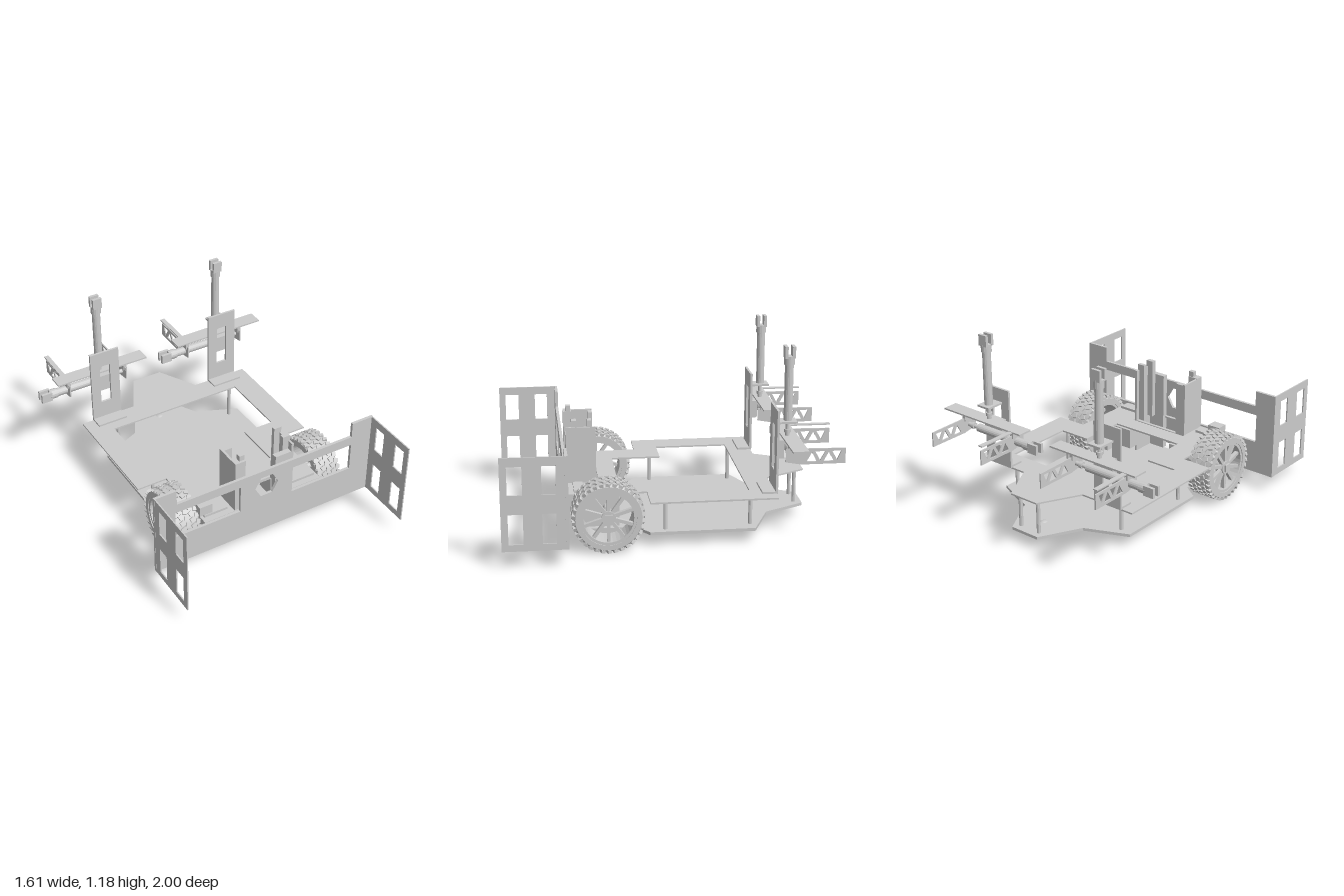
import * as THREE from 'three';
import { mergeGeometries } from 'three/addons/utils/BufferGeometryUtils.js';

const CX = 0.037; // centre line of the chassis
const mat = new THREE.MeshStandardMaterial({ color: 0xcccccc, flatShading: true, side: THREE.DoubleSide });
const smooth = new THREE.MeshStandardMaterial({ color: 0xcccccc });

function add(parent, name, geometry, x = 0, y = 0, z = 0, material = mat) {
  const mesh = new THREE.Mesh(geometry, material);
  mesh.name = name;
  mesh.position.set(x, y, z);
  parent.add(mesh);
  return mesh;
}

// box given by its two extreme corners
function box(parent, name, x0, x1, y0, y1, z0, z1) {
  return add(parent, name, new THREE.BoxGeometry(x1 - x0, y1 - y0, z1 - z0),
    (x0 + x1) / 2, (y0 + y1) / 2, (z0 + z1) / 2);
}

const path = (pts) => pts.map(([a, b]) => new THREE.Vector2(a, b));
const rect = (a0, a1, b0, b1) => [[a0, b0], [a1, b0], [a1, b1], [a0, b1]];
// flat sheet with holes, extruded along +z
function sheet(outline, holes, depth) {
  const shape = new THREE.Shape(path(outline));
  for (const h of holes) shape.holes.push(new THREE.Path(path(h)));
  return new THREE.ExtrudeGeometry(shape, { depth, bevelEnabled: false });
}
const flatSheet = (o, h, d) => sheet(o, h, d).rotateX(Math.PI / 2); // points are (x, z), hangs down
const sideSheet = (o, h, d) => sheet(o, h, d).rotateY(-Math.PI / 2).translate(d / 2, 0, 0); // (z, y)
// mirror a half outline (offsets from the centre line) into a closed one
const mirrored = (half) => [
  ...half.map(([x, z]) => [CX + x, z]),
  ...half.slice().reverse().map(([x, z]) => [CX - x, z]),
];

function buildChassis(g) {
  add(g, 'upperDeck', flatSheet(
    mirrored([[0.1, -0.868], [0.235, -0.614], [0.607, -0.614], [0.607, 0.14], [0.41, 0.14], [0.41, 0.61]]),
    [mirrored([[0.455, -0.465], [0.455, -0.01], [0.25, -0.01], [0.25, 0.296]]),
      rect(-0.167, 0.24, 0.41, 0.59)], 0.01), 0, 0.314, 0);
  add(g, 'lowerDeck', flatSheet(
    mirrored([[0.1, -0.868], [0.235, -0.614], [0.5, -0.5], [0.5, 0.13], [0.4, 0.2], [0.4, 0.58]]), [], 0.018), 0, 0.09, 0);
  const post = new THREE.CylinderGeometry(0.012, 0.012, 0.22, 8);
  for (const s of [-1, 1])
    for (const [x, z] of [[0.45, 0.035], [0.42, -0.48], [0.07, -0.82]])
      add(g, 'standoff', post, CX + s * x, 0.197, z);
  // ball caster under the tail
  add(g, 'casterMount', new THREE.CylinderGeometry(0.062, 0.062, 0.022, 16), CX, 0.062, -0.7);
  add(g, 'casterBall', new THREE.SphereGeometry(0.045, 16, 10), CX, 0.051, -0.7, smooth);
}

function buildBlade(g) {
  const hexagon = Array.from({ length: 6 }, (_, i) =>
    [CX + 0.08 * Math.cos(i * Math.PI / 3), 0.447 + 0.08 * Math.sin(i * Math.PI / 3)]);
  add(g, 'frontBlade', sheet(
    [[-0.72, 0.11], [0.797, 0.11], [0.797, 0.665], [0.645, 0.665], [0.645, 0.565],
      [-0.575, 0.565], [-0.575, 0.665], [-0.72, 0.665]],
    [rect(-0.585, -0.145, 0.32, 0.505), rect(0.22, 0.645, 0.32, 0.505), hexagon], 0.018), 0, 0, 0.618);
  const windows = [];
  for (const [z0, z1] of [[0.687, 0.767], [0.875, 0.96]])
    for (const [y0, y1] of [[0.15, 0.33], [0.444, 0.615]]) windows.push(rect(z0, z1, y0, y1));
  for (const [name, x] of [['rightWing', -0.715], ['leftWing', 0.791]])
    add(g, name, sideSheet(rect(0.63, 1, 0.11, 0.665), windows, 0.008), x, 0, 0);
}

function buildWheel(side) {
  const w = new THREE.Group();
  w.name = side > 0 ? 'leftWheel' : 'rightWheel';
  // the wheel axis is built along y, then turned to x
  const tyre = [[0.165, -0.08], [0.195, -0.08], [0.205, -0.07], [0.205, 0.07], [0.195, 0.08],
    [0.165, 0.08], [0.165, -0.08]];
  add(w, 'tyre', new THREE.LatheGeometry(path(tyre), 40));
  const knobs = [];
  const n = 34;
  for (let row = 0; row < 5; row++)
    for (let i = 0; i < n; i++) {
      const k = new THREE.BoxGeometry(0.018, 0.027, 0.024);
      k.rotateX(row % 2 ? 0.35 : -0.35);
      k.translate(0.205, (row - 2) * 0.034, 0);
      k.rotateY((i + (row % 2) / 2) / n * Math.PI * 2);
      knobs.push(k);
    }
  add(w, 'tread', mergeGeometries(knobs));
  const rim = [[0.148, -0.075], [0.168, -0.075], [0.168, 0.075], [0.148, 0.075], [0.148, -0.075]];
  add(w, 'rim', new THREE.LatheGeometry(path(rim), 40));
  for (let i = 0; i < 10; i++) {
    const a = i / 10 * Math.PI * 2;
    const spoke = add(w, 'spoke', new THREE.BoxGeometry(0.125, 0.025, 0.02),
      0.095 * Math.cos(a), -0.05, -0.095 * Math.sin(a));
    spoke.rotation.y = a;
  }
  add(w, 'hub', new THREE.CylinderGeometry(0.042, 0.042, 0.06, 20), 0, -0.04, 0);
  add(w, 'hubNut', new THREE.BoxGeometry(0.045, 0.02, 0.045), 0, -0.072, 0);
  w.rotation.z = side * Math.PI / 2;
  w.position.set(CX + side * 0.5, 0.215, 0.38);
  return w;
}

function buildDrive(g) {
  for (const s of [-1, 1]) {
    g.add(buildWheel(s));
    const axle = add(g, 'axle', new THREE.CylinderGeometry(0.018, 0.018, 0.18, 12), CX + s * 0.41, 0.215, 0.38);
    axle.rotation.z = Math.PI / 2;
    const x = CX + s * 0.25;
    box(g, 'motor', x - 0.09, x + 0.09, 0.15, 0.28, 0.32, 0.44);
    box(g, 'motorMount', x + s * 0.1 - 0.012, x + s * 0.1 + 0.012, 0.09, 0.304, 0.3, 0.56);
    box(g, 'deckBlock', CX + s * 0.31 - 0.08, CX + s * 0.31 + 0.08, 0.31, 0.33, 0.51, 0.57);
  }
  box(g, 'sensorBlock', -0.385, -0.3, 0.335, 0.4, 0.5, 0.57);
}

function buildLift(g) {
  // right guide: tall side panel with posts
  box(g, 'rightGuidePanel', -0.165, -0.15, 0.09, 0.66, 0.425, 0.605);
  box(g, 'rightGuidePost', -0.165, -0.095, 0.09, 0.665, 0.555, 0.605);
  box(g, 'rightGuideTip', -0.13, -0.095, 0.66, 0.7, 0.56, 0.59);
  box(g, 'rightGuidePost', -0.165, -0.095, 0.09, 0.655, 0.425, 0.45);
  // left guide: cluster of columns
  box(g, 'leftGuideBase', 0.115, 0.24, 0.09, 0.605, 0.57, 0.605);
  box(g, 'leftGuidePanel', 0.225, 0.24, 0.09, 0.66, 0.425, 0.605);
  box(g, 'leftGuidePost', 0.185, 0.235, 0.31, 0.7, 0.54, 0.57);
  box(g, 'leftGuidePost', 0.185, 0.235, 0.31, 0.7, 0.45, 0.475);
  box(g, 'leftGuideCrossbar', -0.165, 0.24, 0.29, 0.31, 0.425, 0.445);
}

// telescopic ram standing along +y from its foot, ending in a fork
function buildRam(length) {
  const ram = new THREE.Group();
  ram.name = 'ram';
  const profile = [[0, 0], [0.014, 0], [0.014, 0.03], [0.02, 0.03], [0.02, 0.05], [0.012, 0.05],
    [0.012, 0.085], [0.026, 0.085], [0.026, length - 0.11], [0.032, length - 0.11], [0.032, length - 0.06], [0, length - 0.06]];
  add(ram, 'cylinder', new THREE.LatheGeometry(path(profile), 16));
  for (const s of [-1, 1])
    add(ram, 'forkProng', new THREE.BoxGeometry(0.06, 0.07, 0.018), 0, length - 0.035, s * 0.022);
  return ram;
}

function buildArm(name, dx) {
  const a = new THREE.Group();
  a.name = name;
  // upright bracket with a window and a foot on the deck
  add(a, 'bracket', sheet(rect(-0.493, -0.293, 0.31, 0.818), [rect(-0.43, -0.358, 0.44, 0.715)], 0.014), 0, 0, -0.622);
  box(a, 'bracketFoot', -0.493, -0.293, 0.312, 0.326, -0.62, -0.53);
  box(a, 'carriage', -0.465, -0.325, 0.52, 0.63, -0.66, -0.622);
  box(a, 'collar', -0.44, -0.35, 0.722, 0.734, -0.74, -0.622);
  const lift = buildRam(0.55);
  lift.position.set(-0.395, 0.63, -0.69);
  a.add(lift);
  // cross plate with the sideways ram below it
  box(a, 'crossPlate', -0.7, -0.07, 0.63, 0.64, -0.75, -0.655);
  const reach = buildRam(0.58);
  reach.rotation.z = Math.PI / 2;
  reach.position.set(-0.23, 0.56, -0.7);
  a.add(reach);
  // gripper fingers: pierced trusses pointing to the rear
  const holes = [[[-0.77, 0.53], [-0.83, 0.53], [-0.8, 0.585]], [[-0.85, 0.535], [-0.82, 0.59], [-0.88, 0.59]],
    [[-0.87, 0.53], [-0.93, 0.53], [-0.9, 0.585]], [[-0.95, 0.535], [-0.92, 0.59], [-0.975, 0.59]]];
  const outline = [[-0.645, 0.53], [-0.645, 0.61], [-1, 0.605], [-1, 0.513], [-0.74, 0.513]];
  for (const x of [-0.225, -0.625])
    add(a, 'trussFinger', sideSheet(outline, holes, 0.008), x, 0, 0);
  box(a, 'fingerStrip', -0.64, -0.61, 0.63, 0.637, -1, -0.655);
  for (const x of [-0.225, -0.625]) box(a, 'fingerHanger', x - 0.012, x + 0.012, 0.59, 0.63, -0.74, -0.66);
  a.position.x = dx;
  return a;
}

export function createModel() {
  const g = new THREE.Group();
  g.name = 'wheeledRobot';
  buildChassis(g);
  buildBlade(g);
  buildDrive(g);
  buildLift(g);
  g.add(buildArm('rightArm', 0), buildArm('leftArm', 0.865));
  return g;
}
